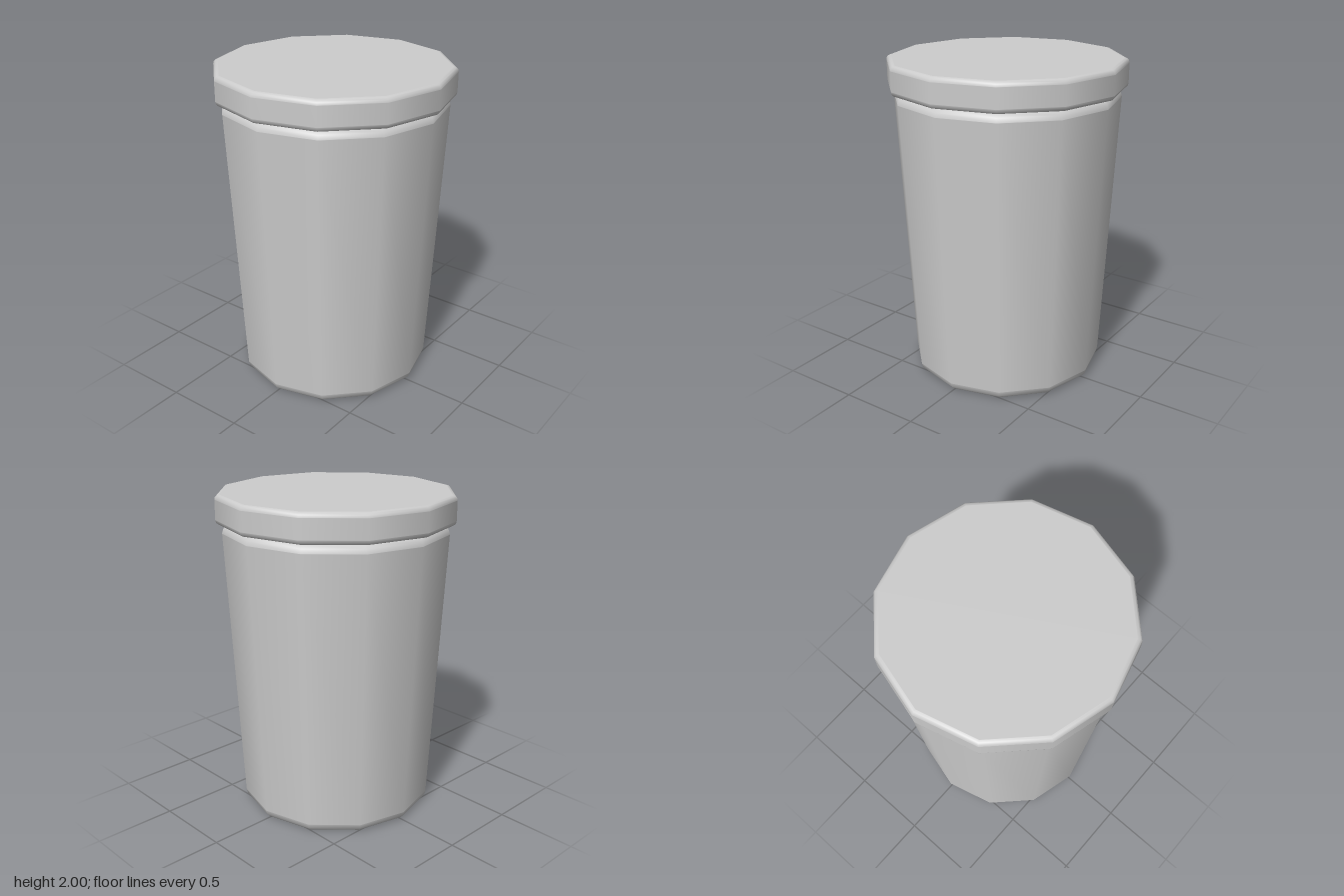
import * as THREE from 'three';

const SIDES = 12;

// Closed twelve-sided tapered drum with softly rounded rims and flat caps.
function roundedDrum(y0, r0, bevel0, y1, r1, bevel1) {
  const HOLD = 0.002; // support loops keep the caps and walls evenly shaded
  const STEPS = 3;
  const pts = [[0, y0], [r0 - bevel0 - HOLD, y0]];
  for (let i = 0; i <= STEPS; i++) {
    const a = (i / STEPS) * Math.PI / 2;
    pts.push([r0 - bevel0 * (1 - Math.sin(a)), y0 + bevel0 * (1 - Math.cos(a))]);
  }
  pts.push([r0 + HOLD * 0.05, y0 + bevel0 + HOLD], [r1 + HOLD * 0.05, y1 - bevel1 - HOLD]);
  for (let i = 0; i <= STEPS; i++) {
    const a = (i / STEPS) * Math.PI / 2;
    pts.push([r1 - bevel1 * (1 - Math.cos(a)), y1 - bevel1 * (1 - Math.sin(a))]);
  }
  pts.push([r1 - bevel1 - HOLD, y1], [0, y1]);
  return new THREE.LatheGeometry(pts.map(([x, y]) => new THREE.Vector2(x, y)), SIDES);
}

export function createModel() {
  const group = new THREE.Group();
  group.name = 'liddedCup';
  const grey = new THREE.MeshStandardMaterial({ color: 0xcccccc });
  grey.name = 'lightGrey';

  // Tapered body, wider at the top
  const body = new THREE.Mesh(roundedDrum(0, 0.608, 0.055, 1.82, 0.692, 0.05), grey);
  body.name = 'body';

  // Overhanging disc lid
  const lid = new THREE.Mesh(roundedDrum(1.822, 0.728, 0.028, 2, 0.728, 0.028), grey);
  lid.name = 'lid';

  group.add(body, lid);
  return group;
}
